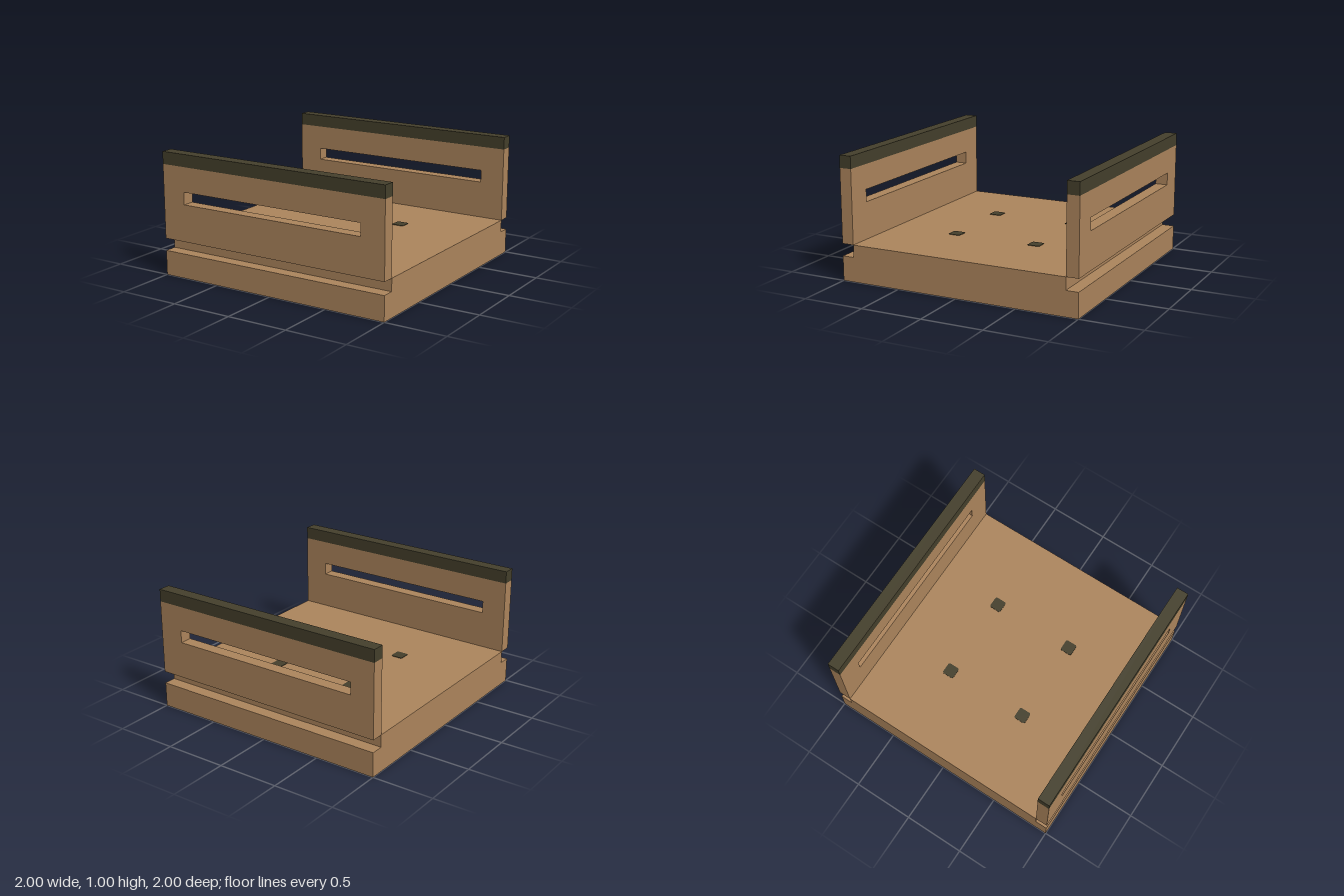
import * as THREE from 'three';

export function createModel() {
  const wood = new THREE.MeshStandardMaterial({ color: 0xae865d });
  wood.name = 'wood';
  const dark = new THREE.MeshStandardMaterial({ color: 0x45402c });
  dark.name = 'dark trim';

  const model = new THREE.Group();
  model.name = 'slottedTray';

  const add = (name, geometry, material, x = 0, y = 0, z = 0) => {
    const mesh = new THREE.Mesh(geometry, material);
    mesh.name = name;
    mesh.position.set(x, y, z);
    model.add(mesh);
    return mesh;
  };
  const rectangle = (path, x0, y0, x1, y1) =>
    path.moveTo(x0, y0).lineTo(x1, y0).lineTo(x1, y1).lineTo(x0, y1).closePath();

  // Base: stepped profile in (z, y), extruded along x
  const profile = new THREE.Shape([
    [-1, 0], [1, 0], [1, 0.2], [0.9, 0.2], [0.9, 0.3], [-0.9, 0.3], [-0.9, 0.2], [-1, 0.2],
  ].map(([z, y]) => new THREE.Vector2(z, y)));
  const base = new THREE.ExtrudeGeometry(profile, { depth: 2, bevelEnabled: false });
  base.translate(0, 0, -1).rotateY(-Math.PI / 2);
  add('base', base, wood);

  // Side wall with a long slot, shared by front and back
  const outline = new THREE.Shape();
  rectangle(outline, -1, 0.3, 1, 0.9);
  const slot = new THREE.Path();
  rectangle(slot, -0.8, 0.6, 0.8, 0.7);
  outline.holes.push(slot);
  const wall = new THREE.ExtrudeGeometry(outline, { depth: 0.1, bevelEnabled: false });
  wall.translate(0, 0, -0.05);
  const rail = new THREE.BoxGeometry(2, 0.1, 0.1);

  for (const [side, s] of [['front', 1], ['back', -1]]) {
    add(side + 'Wall', wall, wood, 0, 0, s * 0.95);
    add(side + 'Rail', rail, dark, 0, 0.95, s * 0.95);
  }

  // Four small pads with clipped corners, set on the floor
  const h = 0.05, c = 0.04;
  const padShape = new THREE.Shape([
    [-c, -h], [c, -h], [h, -c], [h, c], [c, h], [-c, h], [-h, c], [-h, -c],
  ].map(([x, y]) => new THREE.Vector2(x, y)));
  const pad = new THREE.ExtrudeGeometry(padShape, { depth: 0.004, bevelEnabled: false });
  pad.rotateX(-Math.PI / 2);
  for (const x of [-0.35, 0.35]) {
    for (const z of [-0.35, 0.35]) add('floorPad', pad, dark, x, 0.3, z);
  }

  return model;
}
